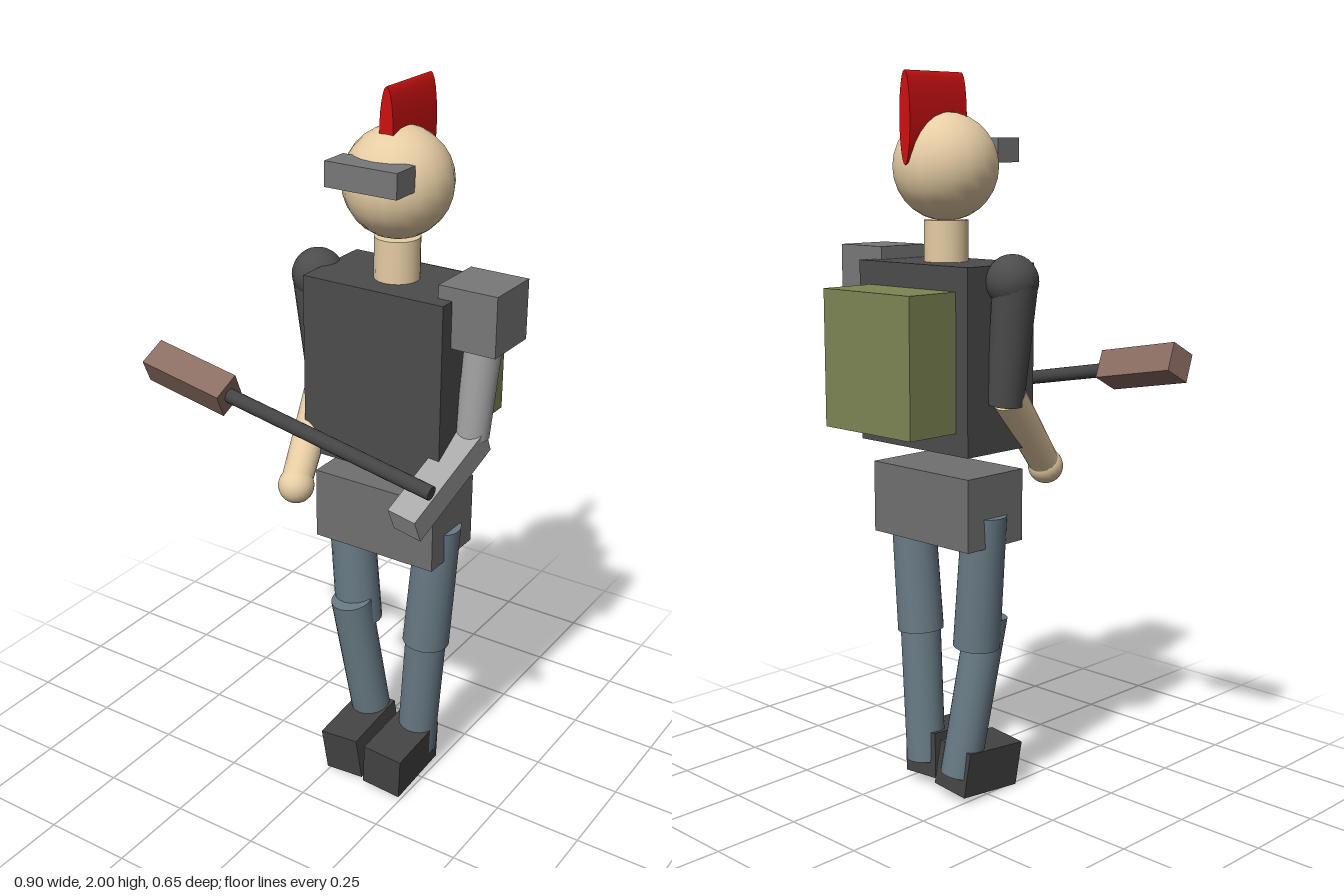
import * as THREE from 'three';

const COLORS = {
  skin: 0xe6cda4, suit: 0x4c4c4c, belt: 0x707070, armour: 0x787878, metal: 0xa8a8a8,
  trousers: 0x687a84, boots: 0x444444, pack: 0x7d8553, wood: 0x8a6c62, crest: 0xcc1111,
};
const materials = Object.fromEntries(Object.entries(COLORS).map(
  ([k, color]) => [k, new THREE.MeshStandardMaterial({ color })]));

export function createModel() {
  const group = new THREE.Group();
  const mid = 0.117, back = -0.037; // body axis

  const add = (name, geometry, material, pos) => {
    const mesh = new THREE.Mesh(geometry, materials[material]);
    mesh.name = name;
    mesh.position.set(...pos);
    group.add(mesh);
    return mesh;
  };
  const box = (name, material, size, pos) =>
    add(name, new THREE.BoxGeometry(...size), material, pos);
  const ball = (name, material, r, pos) =>
    add(name, new THREE.SphereGeometry(r, 20, 14), material, pos);
  // Limb from point a to point b, either round or square in section
  const limb = (name, material, a, b, ra, rb = ra, square = 0) => {
    const from = new THREE.Vector3(...a), to = new THREE.Vector3(...b);
    const dir = from.clone().sub(to), len = dir.length();
    const geo = square ? new THREE.BoxGeometry(ra * 2, len, square)
      : new THREE.CylinderGeometry(ra, rb, len, 20);
    const mesh = add(name, geo, material, from.clone().add(to).multiplyScalar(0.5).toArray());
    mesh.quaternion.setFromUnitVectors(new THREE.Vector3(0, 1, 0), dir.normalize());
    return mesh;
  };

  // Trunk
  box('torso', 'suit', [0.415, 0.495, 0.25], [mid, 1.257, -0.04]);
  box('pelvis', 'belt', [0.37, 0.2, 0.21], [mid, 0.845, back]);
  box('backpack', 'pack', [0.33, 0.37, 0.165], [mid, 1.255, -0.2465]);

  // Head
  limb('neck', 'skin', [mid, 1.615, back], [mid, 1.48, back], 0.06);
  ball('head', 'skin', 0.143, [mid, 1.755, back]);
  box('visor', 'armour', [0.207, 0.065, 0.083], [mid, 1.798, 0.096]);
  const crest = add('crest', new THREE.CylinderGeometry(1, 1, 0.207, 24), 'crest', [mid, 1.88, -0.081]);
  crest.rotation.x = Math.PI / 2;
  crest.scale.set(0.02, 1, 0.12);

  // Right arm, bare below the elbow
  ball('rightShoulder', 'suit', 0.07, [-0.13, 1.465, -0.04]);
  limb('rightUpperArm', 'suit', [-0.14, 1.46, -0.04], [-0.105, 1.14, -0.04], 0.06, 0.05);
  limb('rightForearm', 'skin', [-0.108, 1.16, -0.03], [-0.072, 0.955, 0.15], 0.048, 0.042);
  ball('rightHand', 'skin', 0.049, [-0.068, 0.94, 0.162]);

  // Left arm, armoured
  box('leftShoulderPad', 'armour', [0.165, 0.16, 0.162], [0.367, 1.46, -0.04]);
  limb('leftUpperArm', 'metal', [0.38, 1.44, back], [0.352, 1.12, back], 0.05, 0.045);
  limb('leftForearm', 'metal', [0.35, 1.115, -0.055], [0.308, 0.957, 0.222], 0.042, 0, 0.085);

  // Legs: thighs mirror, the right shin is bent backwards
  for (const [side, s] of [['left', 1], ['right', -1]]) {
    limb(side + 'Thigh', 'trousers', [mid + s * 0.143, 0.83, back], [mid + s * 0.112, 0.45, back], 0.062, 0.066);
  }
  limb('leftShin', 'trousers', [0.232, 0.5, back], [0.197, 0.07, -0.05], 0.058, 0.056);
  limb('rightShin', 'trousers', [0.005, 0.53, 0.005], [0.043, 0.07, -0.065], 0.058, 0.056);
  box('leftBoot', 'boots', [0.12, 0.13, 0.21], [0.192, 0.087, 0.028]).rotation.set(0.07, 0, -0.07);
  box('rightBoot', 'boots', [0.12, 0.13, 0.21], [0.044, 0.08, 0.01]).rotation.set(0.1, 0, 0.09);

  // Long club-like weapon held across the front
  limb('weaponShaft', 'boots', [-0.21, 1.212, 0.27], [0.413, 1.1, 0.27], 0.019);
  const stock = box('weaponStock', 'wood', [0.248, 0.081, 0.081], [-0.32, 1.231, 0.27]);
  stock.rotation.set(Math.PI / 6, 0, -0.178, 'ZYX');

  return group;
}
